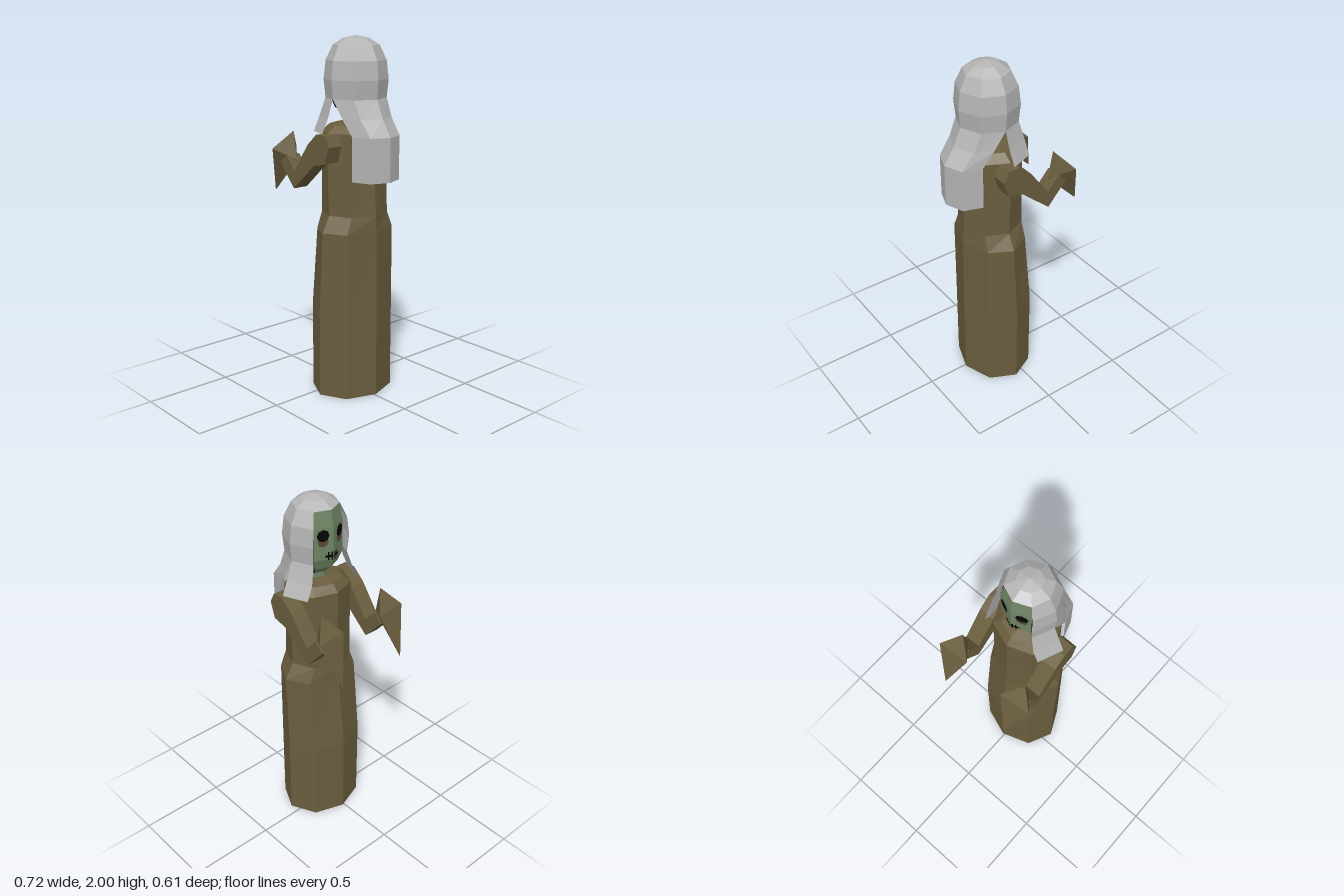
import * as THREE from 'three';

const CZ = -0.01; // centre line of body and head
const HX = 0.085; // head axis

const mat = (name, color) => {
  const m = new THREE.MeshStandardMaterial({ color });
  m.name = name;
  return m;
};

// Faceted surface through rows of points, listed bottom to top, angles increasing
function loft(rows, closed = false) {
  const pos = [];
  const n = rows[0].length;
  for (let r = 0; r < rows.length - 1; r++) {
    for (let i = 0; i < (closed ? n : n - 1); i++) {
      const j = (i + 1) % n;
      const [a, b, c, d] = [rows[r][i], rows[r][j], rows[r + 1][i], rows[r + 1][j]];
      pos.push(...a, ...c, ...b, ...b, ...c, ...d);
    }
  }
  return faceted(pos);
}

function faceted(pos) {
  const g = new THREE.BufferGeometry();
  g.setAttribute('position', new THREE.Float32BufferAttribute(pos, 3));
  g.computeVertexNormals();
  return g;
}

// Points of an octagon ring, from step i0 to i1
function ring(y, cx, rx, rz, i0 = 0, i1 = 7) {
  const pts = [];
  for (let i = i0; i <= i1; i++) {
    const a = i * Math.PI / 4;
    pts.push([cx + rx * Math.cos(a), y, CZ + rz * Math.sin(a)]);
  }
  return pts;
}

export function createModel() {
  const model = new THREE.Group();
  const robe = mat('robe brown', 0x6a5d3e);
  const hair = mat('hair grey', 0xb4b4b4);
  hair.side = THREE.DoubleSide;
  const skin = mat('skin green', 0x6f8464);
  const black = mat('black', 0x050505);
  const scar = mat('scar brown', 0x5e4a30);

  const add = (name, geo, material, parent = model) => {
    const m = new THREE.Mesh(geo, material);
    m.name = name;
    parent.add(m);
    return m;
  };

  // Robe: y, xMin, xMax, half depth
  const robeRows = [
    [0, -0.15, 0.26, 0.24], [0.5, -0.15, 0.26, 0.24], [0.95, -0.1, 0.255, 0.235],
    [1.04, -0.1, 0.25, 0.185], [1.23, -0.09, 0.235, 0.19], [1.49, -0.09, 0.235, 0.19],
    [1.53, -0.055, 0.2, 0.14], [1.545, 0.02, 0.14, 0.06],
  ].map(([y, a, b, rz]) => ring(y, (a + b) / 2, (b - a) / 2, rz));
  add('robe', loft(robeRows, true), robe);
  add('robeUnderside', loft([ring(0, 0.055, 0, 0), ring(0, 0.055, 0.205, 0.24)], true), black);

  // Bent sleeves with pointed cuffs
  const sleeve = new THREE.Shape([
    [-0.25, 1.3], [-0.135, 1.17], [0.04, 1.32], [0.13, 1.34], [0.16, 1.43],
    [0.13, 1.49], [0.06, 1.49], [-0.01, 1.43], [-0.13, 1.27], [-0.2, 1.35],
  ].map((p) => new THREE.Vector2(...p)));
  const A = [-0.36, 1.12, 0], B = [-0.28, 1.38, -0.09], C = [-0.19, 1.48, 0];
  const D = [-0.265, 1.38, 0.09], E = [-0.16, 1.32, 0];
  const cuffFaces = [A, D, B, B, D, C, A, E, D, D, E, C, C, E, B, B, E, A];
  for (const [side, z] of [['left', 0.205], ['right', -0.22]]) {
    const arm = new THREE.Group();
    arm.name = side + 'Arm';
    arm.position.z = z;
    model.add(arm);
    const geo = new THREE.ExtrudeGeometry(sleeve, { depth: 0.09, bevelEnabled: false });
    add('sleeve', geo.translate(0, 0, -0.045), robe, arm);
    add('cuff', faceted(cuffFaces.flat()), robe, arm);
  }

  // Head: green face in front, dark behind
  const headRings = [[1.57, 0.06], [1.62, 0.115], [1.68, 0.14], [1.86, 0.14], [1.95, 0.12], [1.97, 0.02]];
  const headPart = (i0, i1) => loft(headRings.map(([y, r]) => ring(y, HX, r, r, i0, i1)));
  add('face', headPart(3, 5), skin);
  add('backOfHead', headPart(-3, 3), black);
  const neckRings = [[1.51, 0.06], [1.6, 0.06]];
  add('neck', loft(neckRings.map(([y, r]) => ring(y, 0.08, r, r)), true), skin);

  // Painted face details on the two front facets
  const d = 0.14 * Math.cos(Math.PI / 8) + 0.003;
  const nx = -Math.cos(Math.PI / 8);
  for (const s of [1, -1]) {
    const nz = s * Math.sin(Math.PI / 8);
    const facet = new THREE.Group();
    facet.name = s > 0 ? 'leftFaceDetails' : 'rightFaceDetails';
    facet.position.set(HX + d * nx, 0, CZ + d * nz);
    facet.rotation.y = Math.atan2(nx, nz);
    model.add(facet);
    const plate = (name, geo, material, u, y, z = 0) =>
      add(name, geo, material, facet).position.set(u * s, y, z);
    plate('eyeShadow', new THREE.CircleGeometry(0.03, 8), scar, 0.005, 1.785);
    plate('eye', new THREE.CircleGeometry(0.034, 8), black, 0.005, 1.82, 0.002);
    plate('mouth', new THREE.PlaneGeometry(0.045, 0.014), black, -0.03, 1.7);
    for (const u of [-0.045, -0.025]) {
      plate('stitch', new THREE.PlaneGeometry(0.008, 0.045), black, u, 1.702, 0.001);
    }
  }

  // Hair cap, then the sides that leave the face open
  const cap = [[1.95, 0.125], [1.985, 0.07], [2, 0]];
  add('hairCap', loft(cap.map(([y, r]) => ring(y, HX, r, r)), true), hair);
  const sides = [[1.67, 0.165], [1.77, 0.175], [1.87, 0.163], [1.95, 0.125]];
  add('hairSides', loft(sides.map(([y, r]) => ring(y, HX, r, r, -3, 3))), hair);

  // Long hair down the back, mirrored about its middle
  const across = (y, outer, inner, mid) => [
    [outer[0], y, CZ - outer[1]], [inner[0], y, CZ - inner[1]], [mid, y, CZ],
    [inner[0], y, CZ + inner[1]], [outer[0], y, CZ + outer[1]],
  ];
  add('backHair', loft([
    across(1.24, [0.21, 0.14], [0.315, 0.105], 0.355),
    across(1.48, [0.21, 0.14], [0.315, 0.105], 0.355),
    across(1.57, [0.15, 0.155], [0.245, 0.113], 0.295),
    ring(1.67, HX, 0.165, 0.165, -2, 2),
  ]), hair);

  // Front locks over the shoulders
  for (const s of [1, -1]) {
    const rows = [
      [[0.08, 1.49, CZ + s * 0.235], [-0.055, 1.49, CZ + s * 0.18]],
      [[0.085, 1.57, CZ + s * 0.2], [-0.05, 1.57, CZ + s * 0.145]],
      [[HX, 1.67, CZ + s * 0.165], [HX - 0.1167, 1.67, CZ + s * 0.1167]],
    ];
    if (s < 0) rows.forEach((r) => r.reverse());
    add(s > 0 ? 'leftLock' : 'rightLock', loft(rows), hair);
  }
  return model;
}
